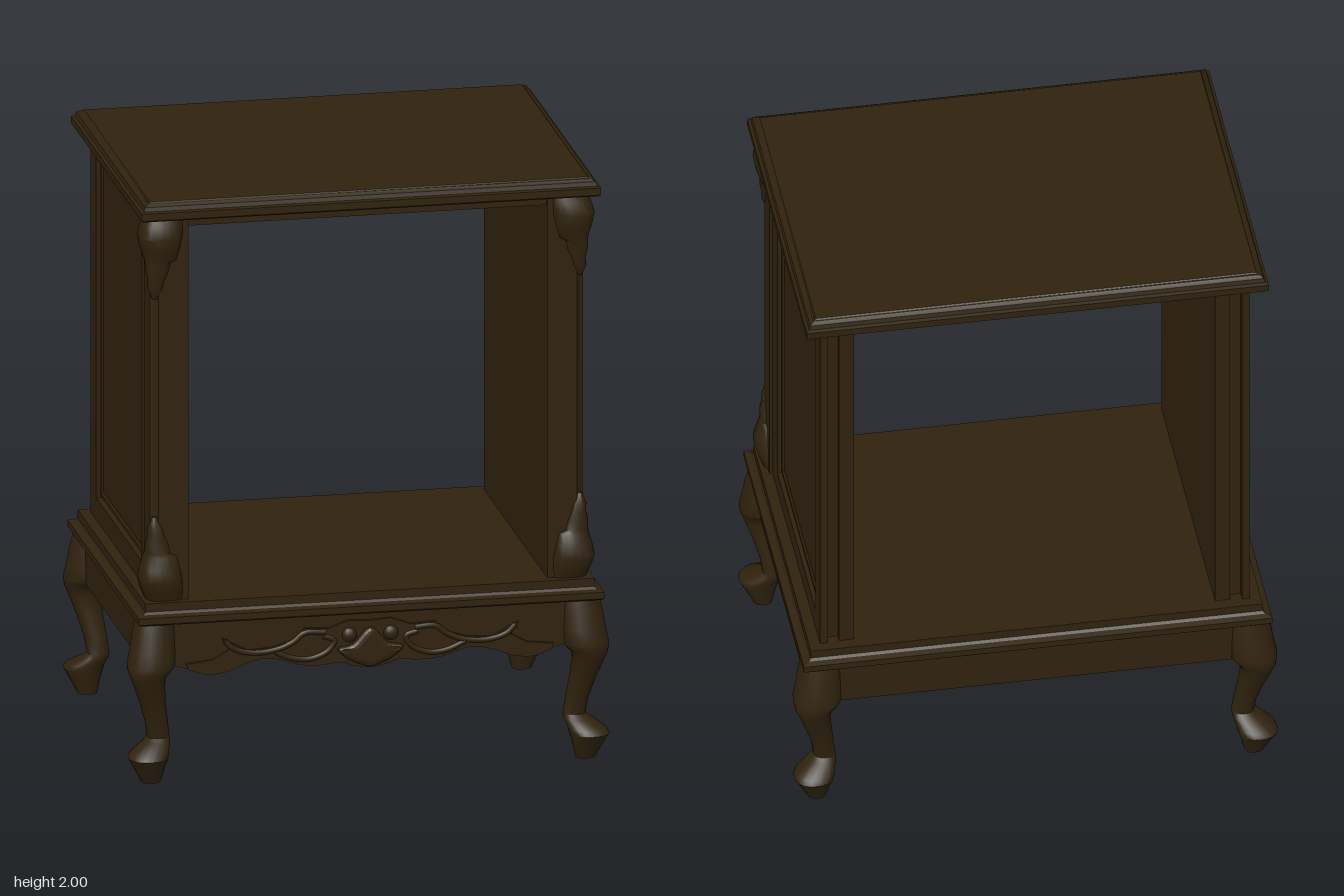
import * as THREE from 'three';
import { toCreasedNormals } from 'three/addons/utils/BufferGeometryUtils.js';

const wood = new THREE.MeshStandardMaterial({ color: 0x30230e });
wood.name = 'darkWood';

const vec2 = ([x, y]) => new THREE.Vector2(x, y);

function add(parent, name, geometry, x = 0, y = 0, z = 0) {
  const mesh = new THREE.Mesh(geometry, wood);
  mesh.name = name;
  mesh.position.set(x, y, z);
  parent.add(mesh);
  return mesh;
}

// Box given by its min and max along each axis
function block(parent, name, [x0, x1], [y0, y1], [z0, z1]) {
  const g = new THREE.BoxGeometry(x1 - x0, y1 - y0, z1 - z0);
  return add(parent, name, g, (x0 + x1) / 2, (y0 + y1) / 2, (z0 + z1) / 2);
}

// Skin over rings that rise from bottom to top, closed at both ends
function loft(rings, crease) {
  const n = rings[0].length, pos = [], index = [];
  rings.forEach(r => r.forEach(p => pos.push(...p)));
  for (let i = 0; i < rings.length - 1; i++) {
    for (let j = 0; j < n; j++) {
      const a = i * n + j, b = i * n + (j + 1) % n;
      index.push(a, b, a + n, b, b + n, a + n);
    }
  }
  const last = (rings.length - 1) * n;
  for (let j = 1; j < n - 1; j++) {
    index.push(0, j + 1, j, last, last + j, last + j + 1);
  }
  const g = new THREE.BufferGeometry();
  g.setAttribute('position', new THREE.Float32BufferAttribute(pos, 3));
  g.setIndex(index);
  return toCreasedNormals(g, crease);
}

// Rectangular moulding from [y, half width, half depth] steps
function moulding(steps) {
  return loft(steps.map(([y, w, d]) => [[w, y, d], [w, y, -d], [-w, y, -d], [-w, y, d]]), 0.3);
}

// Corner carving from [y, inner x, outer x] steps; a higher power gives a squarer section
function cornerForm(steps, centre, power) {
  const n = 20;
  return loft(steps.map(([y, inner, outer]) => {
    const c = (inner + outer) / 2 - centre, h = (outer - inner) / 2;
    return Array.from({ length: n }, (_, j) => {
      const a = -j / n * Math.PI * 2, co = Math.cos(a), si = Math.sin(a);
      const r = h / Math.pow(Math.abs(co) ** power + Math.abs(si) ** power, 1 / power);
      return [c + r * co, y, c + r * si];
    });
  }), 0.7);
}

function rectangle(T, w, h) {
  return new T([[-w, -h], [w, -h], [w, h], [-w, h]].map(vec2));
}

// Mirrors half an outline, from the middle outwards, into a full left-to-right line
function mirrored(half) {
  return [...half.slice(1).reverse().map(([x, y]) => [-x, y]), ...half].map(vec2);
}

export function createModel() {
  const model = new THREE.Group();
  model.name = 'cabinet';

  // Table top and base mouldings
  add(model, 'tableTop', moulding([
    [1.94, 0.768, 0.578], [1.946, 0.774, 0.586], [1.97, 0.774, 0.586], [1.974, 0.764, 0.574],
    [1.988, 0.76, 0.57], [1.995, 0.748, 0.558], [1.996, 0.742, 0.552], [2, 0.738, 0.548]]));
  add(model, 'baseMoulding', moulding([
    [0.55, 0.778, 0.583], [0.556, 0.785, 0.59], [0.578, 0.785, 0.59], [0.584, 0.765, 0.57],
    [0.592, 0.757, 0.562], [0.62, 0.757, 0.562]]));
  block(model, 'frontRail', [-0.62, 0.62], [1.9, 1.94], [0.43, 0.51]);

  // Curved legs, one per corner
  const leg = cornerForm([
    [0, 0.70, 0.765], [0.05, 0.688, 0.79], [0.085, 0.677, 0.81], [0.1, 0.674, 0.802],
    [0.13, 0.664, 0.755], [0.145, 0.664, 0.738], [0.2, 0.671, 0.747], [0.27, 0.681, 0.768],
    [0.34, 0.688, 0.794], [0.365, 0.684, 0.804], [0.385, 0.665, 0.809], [0.4, 0.652, 0.81],
    [0.45, 0.65, 0.8], [0.51, 0.65, 0.79], [0.56, 0.65, 0.778]], 0.735, 2.4);
  [[1, 1, 0], [1, -1, 1], [-1, -1, 2], [-1, 1, -1]].forEach(([sx, sz, turn]) => {
    add(model, 'leg', leg, sx * 0.735, 0, sz * 0.53).rotation.y = turn * Math.PI / 2;
  });

  // Front posts with chamfered corners and leaf carvings at both ends
  const leafSteps = [
    [1.655, 0.71, 0.724], [1.69, 0.692, 0.738], [1.72, 0.682, 0.738], [1.75, 0.67, 0.745],
    [1.78, 0.662, 0.745], [1.79, 0.64, 0.748], [1.83, 0.63, 0.76], [1.87, 0.622, 0.768],
    [1.91, 0.618, 0.756], [1.94, 0.615, 0.744]];
  const upperLeaf = cornerForm(leafSteps, 0.6675, 3);
  const lowerLeaf = cornerForm(leafSteps.map(([y, a, b]) => [2.56 - y, a, b]).reverse(), 0.6675, 3);
  const h = 0.0625;
  const postShape = new THREE.Shape([[-h, -h], [h, -h], [h, 0.038], [h - 0.008, 0.04],
    [0.04, h - 0.008], [0.038, h], [-h, h]].map(([x, z]) => vec2([x, -z])));
  const post = new THREE.ExtrudeGeometry(postShape, { depth: 1.32, bevelEnabled: false });
  post.rotateX(-Math.PI / 2);
  for (const s of [1, -1]) {
    const corner = new THREE.Group();
    corner.name = 'frontCorner';
    corner.position.set(s * 0.6675, 0, 0.465);
    corner.rotation.y = s > 0 ? 0 : -Math.PI / 2;
    add(corner, 'frontPost', post, 0, 0.62, 0);
    add(corner, 'upperLeafCarving', upperLeaf);
    add(corner, 'lowerLeafCarving', lowerLeaf);
    model.add(corner);
  }

  // Side walls: frame with a sunken, bordered panel, and a lining with a groove at the back
  const frameShape = rectangle(THREE.Shape, 0.4625, 0.66);
  frameShape.holes.push(rectangle(THREE.Path, 0.372, 0.585));
  const frame = new THREE.ExtrudeGeometry(frameShape, { depth: 0.025, bevelEnabled: false });
  const borderShape = rectangle(THREE.Shape, 0.372, 0.585);
  borderShape.holes.push(rectangle(THREE.Path, 0.345, 0.558));
  const border = new THREE.ExtrudeGeometry(borderShape, {
    depth: 0.006, bevelThickness: 0.006, bevelSize: 0.008, bevelOffset: -0.008, bevelSegments: 1 });
  for (const s of [1, -1]) {
    const side = new THREE.Group();
    side.name = 'sideWall';
    side.position.set(s * 0.695, 1.28, -0.0625);
    side.rotation.y = s * Math.PI / 2;
    add(side, 'sideFrame', frame);
    add(side, 'panelBorder', border);
    model.add(side);
    const span = (a, b) => s > 0 ? [a, b] : [-b, -a];
    block(model, 'wallCore', span(0.64, 0.7), [0.62, 1.94], [-0.495, 0.41]);
    block(model, 'wallLining', span(0.605, 0.655), [0.62, 1.94], [-0.52, 0.41]);
    block(model, 'sideApron', span(0.715, 0.752), [0.395, 0.56], [-0.47, 0.47]);
  }
  block(model, 'backApron', [-0.68, 0.68], [0.395, 0.56], [-0.553, -0.517]);

  // Front apron with a wavy lower edge
  const edge = new THREE.SplineCurve(mirrored([[0, 0.36], [0.06, 0.37], [0.1, 0.382], [0.17, 0.376],
    [0.24, 0.382], [0.34, 0.41], [0.42, 0.395], [0.48, 0.372], [0.55, 0.365], [0.61, 0.385],
    [0.67, 0.4]])).getPoints(60);
  const apronShape = new THREE.Shape([...edge, vec2([0.67, 0.56]), vec2([-0.67, 0.56])]);
  add(model, 'frontApron', new THREE.ExtrudeGeometry(apronShape, { depth: 0.036, bevelEnabled: false }), 0, 0, 0.517);

  // Raised leafy field on the apron, with scrolls and a shell
  const relief = new THREE.Group();
  relief.name = 'apronCarving';
  model.add(relief);
  const crest = mirrored([[0, 0.52], [0.07, 0.525], [0.14, 0.5], [0.22, 0.505], [0.25, 0.47],
    [0.33, 0.445], [0.41, 0.44], [0.5, 0.487], [0.475, 0.445], [0.53, 0.415], [0.62, 0.405]]);
  const fieldShape = new THREE.Shape([...edge.filter(p => Math.abs(p.x) < 0.62), ...crest.reverse()]);
  add(relief, 'leafField', new THREE.ExtrudeGeometry(fieldShape, { depth: 0.012, bevelEnabled: false }), 0, 0, 0.553);
  const scrolls = [
    [[0.49, 0.478], [0.46, 0.45], [0.4, 0.432], [0.32, 0.437], [0.26, 0.46], [0.22, 0.49], [0.15, 0.488]],
    [[0.32, 0.43], [0.26, 0.405], [0.2, 0.4], [0.14, 0.425], [0.12, 0.46], [0.16, 0.475]]];
  for (const s of [1, -1]) {
    for (const path of scrolls) {
      const curve = new THREE.CatmullRomCurve3(path.map(([x, y]) => new THREE.Vector3(s * x, y, 0)));
      add(relief, 'scroll', new THREE.TubeGeometry(curve, 24, 0.01, 8), 0, 0, 0.563);
    }
    const bud = add(relief, 'bud', new THREE.SphereGeometry(0.026, 12, 8), s * 0.07, 0.475, 0.563);
    bud.scale.z = 0.7;
  }
  const shellEdge = new THREE.SplineCurve([[0, 0.362], [0.07, 0.39], [0.11, 0.43], [0.06, 0.445], [0, 0.5],
    [-0.06, 0.445], [-0.11, 0.43], [-0.07, 0.39], [0, 0.362]].map(vec2));
  add(relief, 'shell', new THREE.ExtrudeGeometry(new THREE.Shape(shellEdge.getPoints(40)), {
    depth: 0.01, bevelThickness: 0.014, bevelSize: 0.02, bevelOffset: -0.02, bevelSegments: 3 }), 0, 0, 0.562);

  return model;
}
